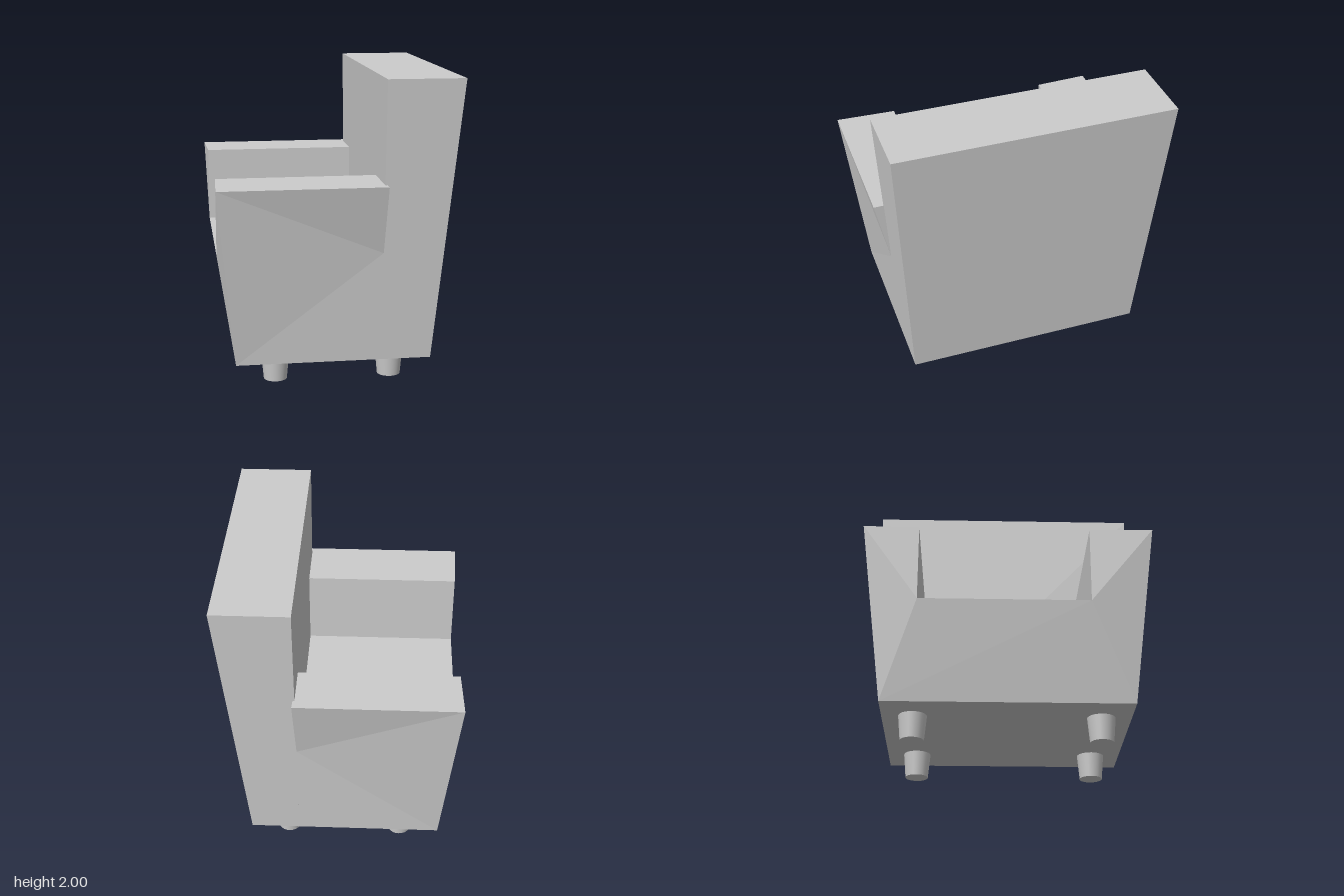
import * as THREE from 'three';

const material = new THREE.MeshStandardMaterial({ color: 0xcccccc, flatShading: true });
const legMaterial = new THREE.MeshStandardMaterial({ color: 0xcccccc });

// Flat-shaded mesh from convex polygons, each a counter-clockwise list of corners.
function panelMesh(name, polygons, flip = false) {
  const positions = [];
  for (const polygon of polygons) {
    const p = flip ? [...polygon].reverse() : polygon;
    for (let i = 1; i < p.length - 1; i++) positions.push(...p[0], ...p[i], ...p[i + 1]);
  }
  const geometry = new THREE.BufferGeometry();
  geometry.setAttribute('position', new THREE.Float32BufferAttribute(positions, 3));
  geometry.computeVertexNormals();
  const mesh = new THREE.Mesh(geometry, material);
  mesh.name = name;
  return mesh;
}

const BASE = 0.165, SEAT = 0.825, ARM = 1.335, TOP = 2;
const BACK_X = 0.28; // front plane of the backrest

// Corners of one arm; s is the side and inner the z of its inner wall.
function armCorners(s, inner) {
  return {
    baseFront: [-0.665, BASE, s * 0.8],
    baseRear: [BACK_X, BASE, s * 0.8],
    outerFront: [-0.78, ARM, s * 0.94],
    outerRear: [0.295, ARM, s * 0.94],
    innerFront: [-0.765, ARM, inner],
    innerRear: [BACK_X, ARM, inner],
    seatFront: [-0.765, SEAT, inner],
    seatRear: [BACK_X, SEAT, inner],
    joint: [BACK_X, 0.89, s * 0.845], // where the arm tucks into the backrest
  };
}

function arm(name, c, flip) {
  return panelMesh(name, [
    [c.baseFront, c.joint, c.outerFront],
    [c.baseFront, c.baseRear, c.joint],
    [c.outerFront, c.joint, c.outerRear],
    [c.seatFront, c.baseFront, c.outerFront],
    [c.seatFront, c.outerFront, c.innerFront],
    [c.outerFront, c.outerRear, c.innerRear, c.innerFront],
    [c.seatFront, c.innerFront, c.innerRear, c.seatRear],
    [c.outerRear, c.joint, c.innerRear],
  ], flip);
}

export function createModel() {
  const group = new THREE.Group();
  group.name = 'armchair';

  // Arms
  const l = armCorners(1, 0.53), r = armCorners(-1, -0.58);
  group.add(arm('armPositiveZ', l, false), arm('armNegativeZ', r, true));

  // Seat with its sloping front panel and underside
  group.add(panelMesh('seat', [
    [l.seatFront, l.seatRear, r.seatRear, r.seatFront],
    [r.baseFront, l.baseFront, l.seatFront, r.seatFront],
    [l.baseFront, r.baseFront, r.baseRear, l.baseRear],
  ]));

  // Backrest: a box flaring towards the top
  const backGeometry = new THREE.BoxGeometry(1, 1, 1);
  const p = backGeometry.attributes.position;
  for (let i = 0; i < p.count; i++) {
    const high = p.getY(i) > 0;
    const x = p.getX(i) < 0 ? BACK_X : high ? 0.775 : 0.605;
    p.setXYZ(i, x, high ? TOP : BASE, Math.sign(p.getZ(i)) * (high ? 0.915 : 0.8));
  }
  backGeometry.computeVertexNormals();
  const back = new THREE.Mesh(backGeometry, material);
  back.name = 'backrest';
  group.add(back);

  // Tapered round legs
  const legGeometry = new THREE.CylinderGeometry(0.092, 0.077, BASE, 24);
  for (const [x, z] of [[-0.395, 0.605], [-0.405, -0.6], [0.365, 0.605], [0.365, -0.6]]) {
    const leg = new THREE.Mesh(legGeometry, legMaterial);
    leg.name = 'leg';
    leg.position.set(x, BASE / 2, z);
    group.add(leg);
  }
  return group;
}
